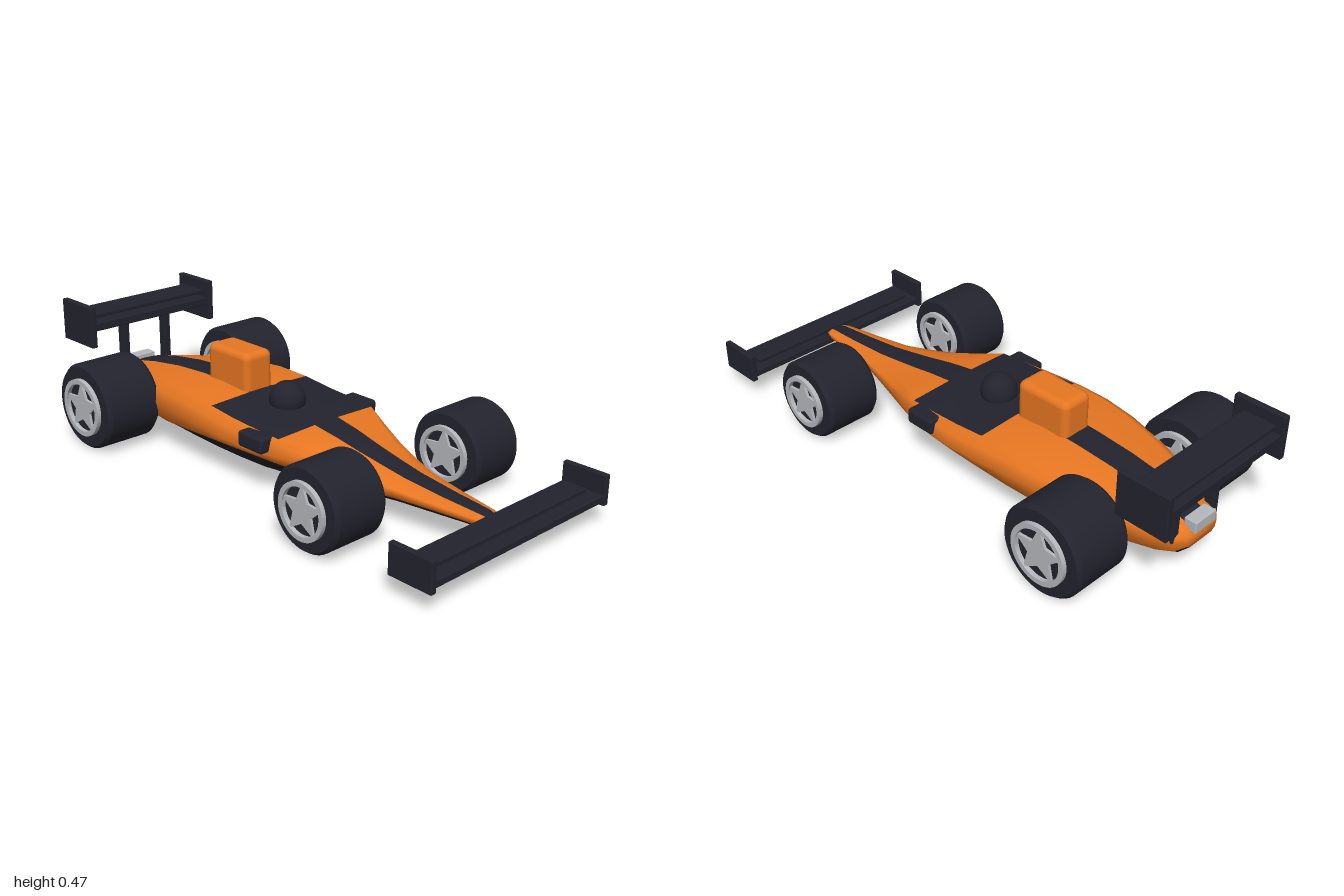
import * as THREE from 'three';
import { toCreasedNormals } from 'three/addons/utils/BufferGeometryUtils.js';
import { RoundedBoxGeometry } from 'three/addons/geometries/RoundedBoxGeometry.js';

const paint = (name, color) => {
  const m = new THREE.MeshStandardMaterial({ color });
  m.name = name;
  return m;
};

export function createModel() {
  const car = new THREE.Group();
  car.name = 'racingCar';
  const orange = paint('orange', 0xe87722);
  const dark = paint('charcoal', 0x23232e);
  const silver = paint('silver', 0xb6b8be);

  const add = (name, geometry, material, x = 0, y = 0, z = 0, parent = car) => {
    const mesh = new THREE.Mesh(geometry, material);
    mesh.name = name;
    mesh.position.set(x, y, z);
    parent.add(mesh);
    return mesh;
  };
  // Softened block given by its limits on each axis
  const block = (name, material, [x0, x1], [y0, y1], [z0, z1], r = 0.004) =>
    add(name, new RoundedBoxGeometry(x1 - x0, y1 - y0, z1 - z0, 3, r), material,
      (x0 + x1) / 2, (y0 + y1) / 2, (z0 + z1) / 2);

  add('body', bodyGeometry(), [orange, dark]);

  // Engine intake, helmet and mirrors
  block('airIntake', orange, [-0.0625, 0.0625], [0.2, 0.385], [-0.41, -0.19], 0.025);
  add('helmet', new THREE.SphereGeometry(0.065, 32, 20), dark, 0, 0.25, -0.045);
  for (const s of [-1, 1]) {
    const span = (a, b) => (s > 0 ? [a, b] : [-b, -a]);
    block('mirror', dark, span(0.2, 0.275), [0.165, 0.222], [0.005, 0.125], 0.012);
    block('frontEndPlate', dark, span(0.403, 0.425), [0.068, 0.175], [0.835, 1]);
    block('rearEndPlate', dark, span(0.268, 0.292), [0.312, 0.47], [-1, -0.81]);
    block('rearWingPillar', dark, span(0.084, 0.113), [0.14, 0.385], [-0.9, -0.865]);
  }

  // Wings
  block('frontWing', dark, [-0.41, 0.41], [0.08, 0.105], [0.84, 0.995]);
  block('frontFlap', dark, [-0.367, 0.367], [0.114, 0.13], [0.865, 0.955]);
  block('rearWing', dark, [-0.28, 0.28], [0.37, 0.402], [-0.99, -0.825]);
  block('rearFlap', dark, [-0.27, 0.27], [0.414, 0.43], [-0.97, -0.85]);
  block('tailLamp', silver, [-0.05, 0.05], [0.165, 0.208], [-0.937, -0.89]);

  // Wheels
  for (const s of [-1, 1]) {
    wheel('frontWheel', s * 0.323, 0.15, 0.495, 0.145, 0.107);
    wheel('rearWheel', s * 0.328, 0.16, -0.66, 0.16, 0.113);
  }

  function wheel(name, x, y, z, r, h) {
    const group = new THREE.Group();
    group.name = name;
    group.position.set(x, y, z);
    car.add(group);
    const profile = [[0, -h], [r * 0.93, -h], [r, 0.014 - h], [r, h - 0.014], [r * 0.93, h], [0, h]]
      .map(([a, b]) => new THREE.Vector2(a, b));
    const tyre = new THREE.LatheGeometry(profile, 48).rotateZ(-Math.PI / 2);
    add('tyre', toCreasedNormals(tyre, 0.6), dark, 0, 0, 0, group);

    const R = r * 0.67;
    const ring = new THREE.Shape().absarc(0, 0, R, 0, Math.PI * 2);
    ring.holes.push(new THREE.Path().absarc(0, 0, R * 0.83, 0, Math.PI * 2, true));
    const star = new THREE.Shape();
    for (let i = 0; i < 10; i++) {
      const a = Math.PI / 2 + i * Math.PI / 5;
      const q = i % 2 ? R * 0.42 : R * 0.92;
      star[i ? 'lineTo' : 'moveTo'](Math.cos(a) * q, Math.sin(a) * q);
    }
    star.closePath();
    for (const s of [-1, 1]) {
      const rim = (shape, depth) => new THREE.ExtrudeGeometry(shape,
        { depth, bevelEnabled: false, curveSegments: 32 }).rotateY(s * Math.PI / 2);
      add('rimRing', toCreasedNormals(rim(ring, 0.02), 0.6), silver, s * (h - 0.004), 0, 0, group);
      add('rimSpokes', rim(star, 0.014), silver, s * (h - 0.004), 0, 0, group);
    }
  }
  return car;
}

// Lofted body; material 0 is the main paint, 1 the stripe, cockpit panel and floor
function bodyGeometry() {
  // z, half width, top, bottom, stripe half width, panel half width, panel drop, floor band height
  const stations = [
    [0.90, 0.028, 0.118, 0.095, 0.016, 0.022, 0.003, 0.005],
    [0.84, 0.05, 0.128, 0.09, 0.024, 0.035, 0.005, 0.01],
    [0.70, 0.073, 0.138, 0.087, 0.03, 0.05, 0.008, 0.015],
    [0.55, 0.098, 0.153, 0.084, 0.036, 0.066, 0.012, 0.018],
    [0.45, 0.128, 0.17, 0.082, 0.04, 0.088, 0.014, 0.02],
    [0.35, 0.162, 0.188, 0.08, 0.045, 0.12, 0.014, 0.025],
    [0.25, 0.2, 0.208, 0.079, 0.05, 0.165, 0.01, 0.035],
    [0.15, 0.238, 0.223, 0.078, 0.054, 0.22, 0.006, 0.05],
    [0.05, 0.262, 0.229, 0.077, 0.054, 0.225, 0.006, 0.06],
    [-0.07, 0.271, 0.235, 0.077, 0.054, 0.225, 0.006, 0.06],
    [-0.19, 0.27, 0.248, 0.077, 0.054, 0.225, 0.007, 0.055],
    [-0.32, 0.262, 0.259, 0.077, 0.053, 0.215, 0.01, 0.045],
    [-0.45, 0.248, 0.256, 0.077, 0.052, 0.2, 0.013, 0.035],
    [-0.60, 0.215, 0.246, 0.078, 0.051, 0.17, 0.016, 0.025],
    [-0.75, 0.172, 0.225, 0.079, 0.05, 0.13, 0.018, 0.02],
    [-0.85, 0.135, 0.204, 0.082, 0.047, 0.1, 0.016, 0.018],
    [-0.90, 0.108, 0.188, 0.092, 0.044, 0.08, 0.014, 0.015],
    [-0.925, 0.075, 0.168, 0.112, 0.035, 0.055, 0.01, 0.01],
  ];
  const positions = [];
  for (const [z, w, top, low, stripe, panel, drop, band] of stations) {
    const h = top - low;
    const half = [
      [0, top], [stripe, top - drop * 0.15], [panel, top - drop], [w * 0.96, top - drop - h * 0.13],
      [w, low + h * 0.55], [w * 0.93, low + band], [w * 0.72, low], [0, low],
    ];
    const mirrored = half.slice(1, 7).reverse().map(([x, y]) => [-x, y]);
    for (const [x, y] of [...half, ...mirrored]) positions.push(x, y, z);
  }

  const N = 14, last = stations.length - 1;
  const faces = [[], []];
  for (let i = 0; i < last; i++) {
    const cockpit = stations[i][0] <= 0.15 && stations[i + 1][0] >= -0.19;
    for (let j = 0; j < N; j++) {
      const column = Math.min(j, N - 1 - j);
      const painted = column === 0 || column >= 5 || (column === 1 && cockpit);
      const a = i * N + j, b = i * N + (j + 1) % N;
      faces[painted ? 1 : 0].push(a, b, a + N, b, b + N, a + N);
    }
  }
  // Nose and tail caps
  const nose = positions.length / 3, tail = nose + 1;
  positions.push(0, 0.107, 0.905, 0, 0.14, -0.93);
  for (let j = 0; j < N; j++) {
    const k = (j + 1) % N;
    faces[1].push(nose, k, j);
    faces[0].push(tail, last * N + j, last * N + k);
  }

  const geometry = new THREE.BufferGeometry();
  geometry.setAttribute('position', new THREE.Float32BufferAttribute(positions, 3));
  geometry.setIndex([...faces[0], ...faces[1]]);
  geometry.addGroup(0, faces[0].length, 0);
  geometry.addGroup(faces[0].length, faces[1].length, 1);
  geometry.computeVertexNormals();
  return geometry;
}
